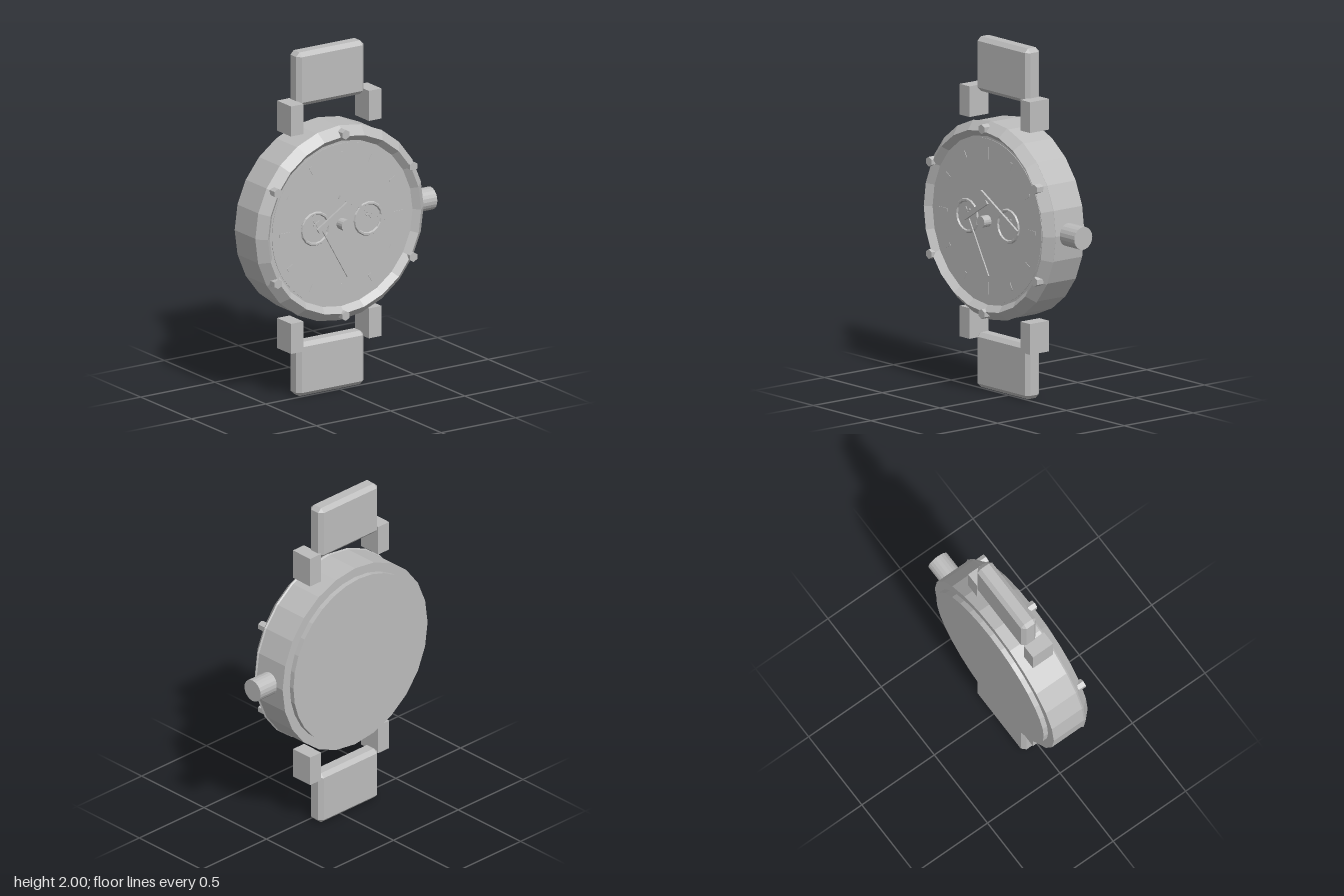
import * as THREE from 'three';
import { ConvexGeometry } from 'three/addons/geometries/ConvexGeometry.js';

const CX = -0.06, CY = 1; // centre of the watch face

export function createModel() {
  const model = new THREE.Group();
  model.name = 'wristwatch';
  const grey = new THREE.MeshStandardMaterial({ color: 0xbcbcbc, flatShading: true });
  grey.name = 'plain grey';

  function add(name, geometry, x, y, z) {
    const mesh = new THREE.Mesh(geometry, grey);
    mesh.name = name;
    mesh.position.set(x, y, z);
    model.add(mesh);
    return mesh;
  }
  // disc facing +z, between two depths
  function disc(name, r, sides, z0, z1, x = CX, y = CY) {
    const g = new THREE.CylinderGeometry(r, r, z1 - z0, sides).rotateX(Math.PI / 2);
    return add(name, g, x, y, (z0 + z1) / 2);
  }
  // thin bar lying on the face between two points
  function bar(name, x0, y0, x1, y1, width, z0, z1) {
    const g = new THREE.BoxGeometry(Math.hypot(x1 - x0, y1 - y0), width, z1 - z0);
    const mesh = add(name, g, (x0 + x1) / 2, (y0 + y1) / 2, (z0 + z1) / 2);
    mesh.rotation.z = Math.atan2(y1 - y0, x1 - x0);
  }
  // box with every edge chamfered by b
  function chamferBox(w, h, d, b) {
    const pts = [];
    for (const i of [-1, 1]) for (const j of [-1, 1]) for (const k of [-1, 1]) {
      const x = w / 2, y = h / 2, z = d / 2;
      pts.push(new THREE.Vector3(i * x, j * (y - b), k * (z - b)));
      pts.push(new THREE.Vector3(i * (x - b), j * y, k * (z - b)));
      pts.push(new THREE.Vector3(i * (x - b), j * (y - b), k * z));
    }
    return new ConvexGeometry(pts);
  }

  // case, back cover and bevelled bezel
  disc('case', 0.56, 24, -0.13, 0.085);
  disc('backCover', 0.505, 32, -0.16, -0.12);
  add('bezel', new THREE.TorusGeometry(0.516, 0.051, 4, 24), CX, CY, 0.084);

  // dial with a slightly raised face
  disc('dial', 0.487, 64, 0.07, 0.1);
  disc('dialFace', 0.467, 64, 0.09, 0.103);

  // bezel studs
  for (let i = 0; i < 6; i++) {
    const a = Math.PI / 2 + i * Math.PI / 3;
    disc('bezelStud', 0.028, 6, 0.1, 0.148, CX + 0.527 * Math.cos(a), CY + 0.527 * Math.sin(a));
  }

  // hour markers
  for (let i = 0; i < 12; i++) {
    const a = i * Math.PI / 6, c = Math.cos(a), s = Math.sin(a);
    const r0 = i % 3 ? 0.375 : 0.35;
    bar('hourMarker', CX + r0 * c, CY + r0 * s, CX + 0.42 * c, CY + 0.42 * s, 0.02, 0.1, 0.106);
  }

  // two small dials with their hands
  for (const x of [-0.235, 0.12]) {
    add('smallDialRing', new THREE.TorusGeometry(0.09, 0.01, 6, 16), x, CY, 0.105);
    bar('smallHand', x - 0.015, 1.05, x + 0.02, 1.0, 0.008, 0.1, 0.108);
    bar('smallHand', x - 0.015, 1.02, x + 0.025, 1.04, 0.008, 0.1, 0.11);
  }

  // main hands and centre pin
  bar('hourHand', -0.235, 0.99, -0.035, 1.115, 0.028, 0.122, 0.135);
  bar('minuteHand', -0.09, 1.165, 0.225, 0.985, 0.02, 0.12, 0.133);
  bar('secondHand', -0.2, 0.99, -0.03, 0.69, 0.008, 0.118, 0.126);
  disc('centrePin', 0.033, 16, 0.09, 0.155);

  // crown
  const crown = new THREE.CylinderGeometry(0.065, 0.065, 0.135, 20).rotateZ(Math.PI / 2);
  add('crown', crown, 0.557, CY, -0.018);

  // lugs and strap pieces, mirrored above and below the face
  for (const side of [-1, 1]) {
    for (const x of [-0.322, 0.203]) {
      add('lug', new THREE.BoxGeometry(0.085, 0.175, 0.138), x, CY + side * 0.6325, -0.018);
    }
    add('strap', chamferBox(0.454, 0.312, 0.102, 0.023), CX + 0.003, CY + side * 0.844, -0.044);
  }

  return model;
}
